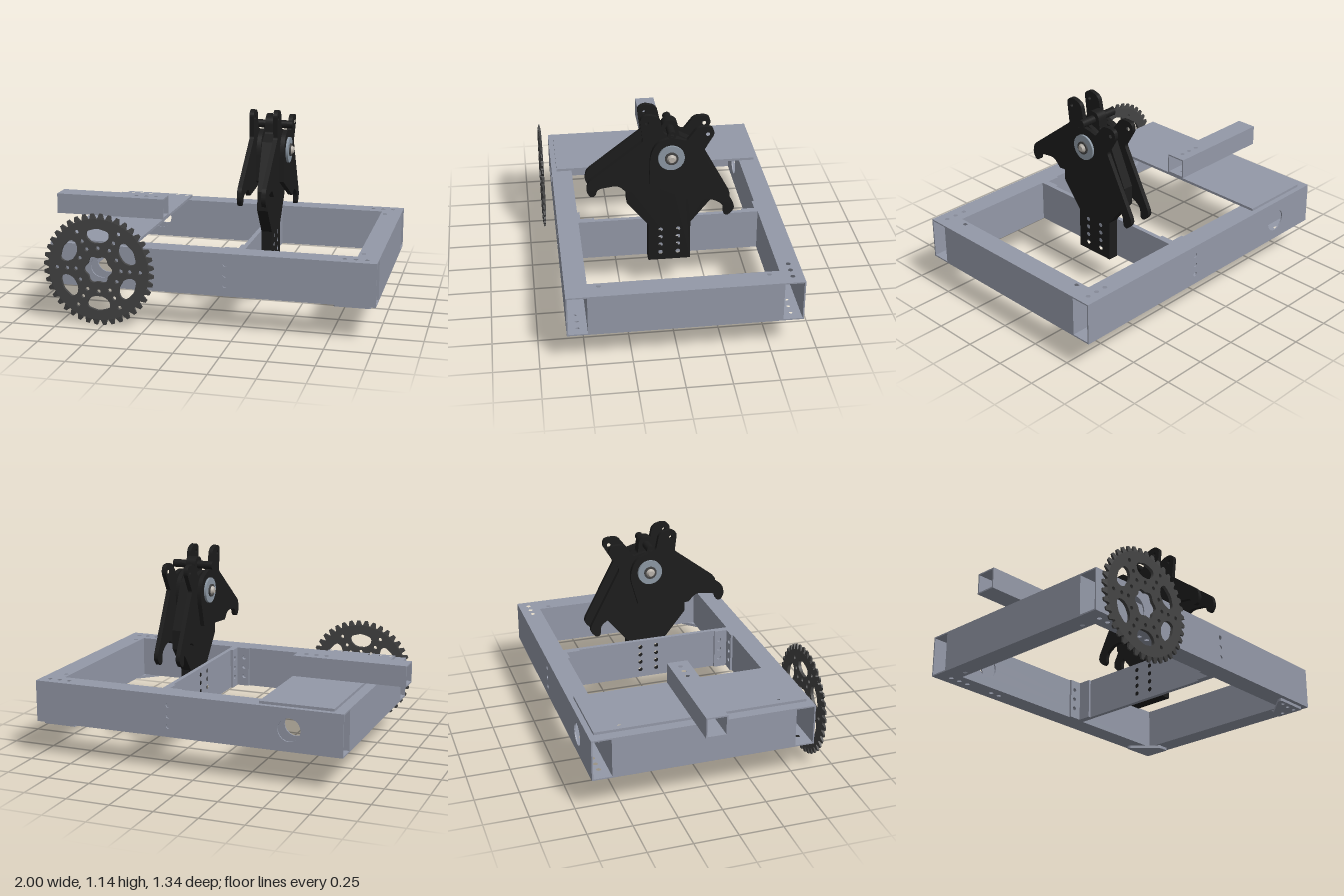
import * as THREE from 'three';

const STEEL = 0x9499a8, BLACK = 0x1c1c1c, DARK = 0x444444, WASHER = 0x8c98a4, BOLT = 0xb8b2aa;
const material = (color) => new THREE.MeshStandardMaterial({ color });
const mats = Object.fromEntries([STEEL, BLACK, DARK, WASHER, BOLT].map((c) => [c, material(c)]));

// Outline whose corners [u, v, radius] may be rounded
function outline(pts, Type = THREE.Shape) {
  const s = new Type();
  pts.forEach(([x, y, r = 0], i) => {
    const p = new THREE.Vector2(x, y);
    const toward = (q) => {
      const d = new THREE.Vector2(q[0] - x, q[1] - y);
      return d.setLength(Math.min(r, d.length() * 0.49)).add(p);
    };
    const a = toward(pts.at(i - 1)), b = toward(pts[(i + 1) % pts.length]);
    if (i) s.lineTo(a.x, a.y); else s.moveTo(a.x, a.y);
    if (r) s.quadraticCurveTo(x, y, b.x, b.y);
  });
  s.closePath();
  return s;
}

const rect = (a, b, c, d) => [[a, c], [b, c], [b, d], [a, d]];
const ring = (n, f) => Array.from({ length: n }, (_, i) => {
  const a = (i / n) * Math.PI * 2, r = f(a);
  return [r * Math.cos(a), r * Math.sin(a)];
});

// Flat sheet: axis is its normal; points are (x,y) for z, (z,y) for x, (x,z) for y
function sheet(name, axis, pts, at, thick, holes = [], color = STEEL) {
  const su = axis === 'x' ? -1 : 1, sv = axis === 'y' ? -1 : 1;
  const shape = outline(pts.map(([u, v, r]) => [u * su, v * sv, r]));
  for (const [u, v, r] of holes) {
    shape.holes.push(new THREE.Path().absarc(u * su, v * sv, r, 0, Math.PI * 2, true));
  }
  const g = new THREE.ExtrudeGeometry(shape, { depth: thick, bevelEnabled: false, curveSegments: 10 });
  if (axis === 'x') g.rotateY(Math.PI / 2);
  if (axis === 'y') g.rotateX(-Math.PI / 2);
  const m = new THREE.Mesh(g, mats[color]);
  m.position[axis] = at;
  m.name = name;
  return m;
}

// Open-ended rectangular tube along x or z
function tube(name, along, [x0, x1], [y0, y1], [z0, z1], flatHoles = [], sideHoles = []) {
  const t = 0.008, g = new THREE.Group();
  g.name = name;
  for (const y of [y0, y1 - t]) g.add(sheet('flange', 'y', rect(x0, x1, z0, z1), y, t, flatHoles));
  const [a, b, axis, c, d] = along === 'x' ? [x0, x1, 'z', z0, z1] : [z0, z1, 'x', x0, x1];
  for (const p of [c, d - t]) g.add(sheet('wall', axis, rect(a, b, y0 + t, y1 - t), p, t, sideHoles));
  return g;
}

function rod(name, r, x0, x1, y, z, color, r2 = r) {
  const m = new THREE.Mesh(new THREE.CylinderGeometry(r2, r, x1 - x0, 32).rotateZ(-Math.PI / 2), mats[color]);
  m.position.set((x0 + x1) / 2, y, z);
  m.name = name;
  return m;
}

function buildFrame() {
  const g = new THREE.Group();
  g.name = 'frame';
  const Y = [0.2, 0.44], small = 0.013;
  const plateX = [-0.73, -0.67, -0.61, -0.43, -0.37];
  const boltY = [0.26, 0.32, 0.38];
  const sideHoles = [[-0.52, 0.32, 0.065], ...boltY.map((y) => [0.18, y, small])];
  const row = (xs, z) => xs.map((x) => [x, z, small]);

  // Side rails
  for (const [name, z0, z1, hz] of [['backRail', -0.67, -0.55, -0.61], ['frontRail', 0.48, 0.6, 0.54]]) {
    g.add(tube(name, 'x', [-0.82, 1], Y, [z0, z1], row([...plateX, 0.82, 0.88, 0.94], hz), sideHoles));
  }
  // End beams
  g.add(tube('rightEndBeam', 'z', [-0.82, -0.7], Y, [-0.55, 0.48], [[-0.73, -0.49, small], [-0.73, 0.42, small]]));
  g.add(tube('leftEndBeam', 'z', [0.88, 1], Y, [-0.55, 0.48], [[0.905, -0.49, small], [0.905, 0.42, small]]));

  // Middle cross plate with corner brackets
  const mid = [];
  for (const z of [-0.08, 0.02]) for (const y of [0.25, 0.3, 0.35, 0.4]) mid.push([z, y, small]);
  g.add(sheet('crossPlate', 'x', rect(-0.55, 0.48, ...Y), 0.24, 0.025, mid));
  for (const [z, s] of [[-0.55, 1], [0.48, -1]]) {
    const b = new THREE.Group();
    b.name = 'cornerBracket';
    b.add(sheet('railLeg', 'z', rect(0.15, 0.24, ...Y), s > 0 ? z : z - 0.013, 0.013, boltY.map((y) => [0.18, y, small])));
    b.add(sheet('plateLeg', 'x', rect(z + 0.013 * s, z + 0.09 * s, ...Y), 0.225, 0.015, boltY.map((y) => [z + 0.06 * s, y, small])));
    g.add(b);
  }
  // Corner gussets underneath
  for (const s of [1, -1]) {
    const f = (x, z) => [x, -0.035 + s * (z + 0.035), 0.01];
    const pts = [f(0.97, 0.575), f(0.97, 0.41), f(0.91, 0.41), f(0.77, 0.55), f(0.77, 0.575)];
    const holes = [[0.82, 0.55], [0.88, 0.54], [0.94, 0.54], [0.94, 0.46]].map(([x, z]) => [...f(x, z).slice(0, 2), 0.012]);
    g.add(sheet('gusset', 'y', pts, 0.183, 0.017, holes));
  }
  // Deck plate and the tube bolted on top of it
  const tubeHoles = row([-0.52, -0.46, -0.4], -0.04);
  g.add(sheet('deckPlate', 'y', rect(-0.76, -0.34, -0.64, 0.57), 0.44, 0.015,
    [...row(plateX, -0.61), ...row(plateX, 0.54), ...row([-0.73], -0.49), ...row([-0.73], 0.42), ...tubeHoles]));
  g.add(tube('deckTube', 'x', [-1, -0.34], [0.455, 0.575], [-0.1, 0.02], tubeHoles));
  return g;
}

function buildSprocket() {
  const g = new THREE.Group();
  g.name = 'sprocket';
  const T = 0.018, root = 0.287, tip = 0.317, N = 40, deg = Math.PI / 180;
  const polar = (r, a, k) => [r * Math.cos(a), r * Math.sin(a), k];
  const body = outline(ring(120, () => root));
  body.holes.push(outline(ring(72, (a) => 0.074 + 0.007 * Math.cos(6 * a)), THREE.Path));
  for (let k = 0; k < 6; k++) {
    const a = k * 60 * deg, b = a + 30 * deg;
    // Window between two spokes
    const w = [[0.153, -11], [0.19, -20], [0.226, -17], [0.236, 0], [0.226, 17], [0.19, 20], [0.153, 11]];
    body.holes.push(outline(w.map(([r, d]) => polar(r, b + d * deg, 0.02)), THREE.Path));
    // Bolt holes
    for (const [r, q] of [[0.13, a], [0.18, a], [0.24, a], [0.122, b]]) {
      body.holes.push(new THREE.Path().absarc(...polar(r, q).slice(0, 2), 0.012, 0, Math.PI * 2, true));
    }
  }
  const opts = { depth: T, bevelEnabled: false, curveSegments: 6 };
  const disc = new THREE.Mesh(new THREE.ExtrudeGeometry(body, opts), mats[DARK]);
  disc.name = 'sprocketDisc';

  // Toothed rim, thinned towards the tips
  const pts = [];
  for (let i = 0; i < N; i++) {
    for (const [f, r] of [[0, root], [0.2, root], [0.42, tip], [0.78, tip]]) pts.push(polar(r, ((i + f) / N) * Math.PI * 2));
  }
  const rim = outline(pts);
  rim.holes.push(outline(ring(120, () => root - 0.003), THREE.Path));
  const rg = new THREE.ExtrudeGeometry(rim, opts), p = rg.attributes.position;
  for (let i = 0; i < p.count; i++) {
    if (Math.hypot(p.getX(i), p.getY(i)) > 0.3) p.setZ(i, T / 2 + (p.getZ(i) - T / 2) * 0.45);
  }
  rg.computeVertexNormals();
  const teeth = new THREE.Mesh(rg, mats[DARK]);
  teeth.name = 'sprocketTeeth';
  g.add(disc, teeth);
  g.position.set(-0.52, 0.317, 0.648);
  return g;
}

function buildClaw() {
  const g = new THREE.Group();
  g.name = 'clawMechanism';
  const Z = -0.03, Y = 0.9;
  // Centre mount, symmetric about the pivot
  const half = [[0.12, 0.2], [0.12, 0.44], [0.24, 0.59], [0.24, 0.7], [0.12, 0.96], [0.05, 1.0, 0.01], [0.045, 1.07, 0.03], [0.02, 1.092, 0.015]];
  const mount = [...half.map(([z, y, r]) => [Z + z, y, r]), ...half.map(([z, y, r]) => [Z - z, y, r]).reverse()];
  const bolts = [];
  for (const z of [-0.08, 0.02]) for (const y of [0.25, 0.3, 0.35, 0.4]) bolts.push([z, y, 0.013]);
  g.add(sheet('centreMount', 'x', mount, 0.27, 0.06, bolts, BLACK));

  // Hooked jaws, one reaching forwards and one backwards on each side
  const frontJaw = [[0.01, 1.03, 0.02], [0.03, 1.13, 0.03], [0.1, 1.15, 0.03], [0.138, 1.125, 0.02], [0.122, 0.99, 0.01],
    [0.425, 0.755, 0.02], [0.437, 0.7, 0.02], [0.415, 0.66, 0.015], [0.387, 0.665, 0.015], [0.375, 0.71, 0.03],
    [0.26, 0.725, 0.03], [0.21, 0.675], [-0.1, 0.7], [-0.15, 0.88, 0.05], [-0.12, 0.98, 0.05], [-0.04, 1.015, 0.03]];
  const backJaw = [[-0.115, 0.995, 0.01], [-0.175, 1.075, 0.03], [-0.255, 1.072, 0.03], [-0.268, 1.03, 0.02], [-0.203, 0.92, 0.01],
    [-0.385, 0.575, 0.02], [-0.385, 0.545, 0.02], [-0.35, 0.508, 0.015], [-0.325, 0.52, 0.015], [-0.325, 0.58, 0.04],
    [-0.27, 0.615, 0.02], [-0.22, 0.625, 0.02], [-0.18, 0.6], [0.09, 0.735], [0.085, 0.92, 0.05], [0.05, 0.99, 0.05],
    [-0.01, 1.015, 0.04], [-0.07, 1.01, 0.02]];
  for (const x of [0.205, 0.34]) g.add(sheet('frontJaw', 'x', frontJaw, x, 0.025, [[0.1, 1.1, 0.011]], BLACK));
  for (const x of [0.235, 0.37]) g.add(sheet('backJaw', 'x', backJaw, x, 0.025, [[-0.23, 1.03, 0.011]], BLACK));

  // Hollow stop pin
  g.add(sheet('stopPin', 'x', ring(28, () => 0.023).map(([z, y]) => [z + Z, y + 1.046]), 0.178, 0.244, [[Z, 1.046, 0.01]], BLACK));
  // Pivot axle with a washer, collar and bolt head on each side
  g.add(rod('pivotAxle', 0.035, 0.19, 0.41, Y, Z, BLACK));
  g.add(rod('leftWasher', 0.073, 0.395, 0.408, Y, Z, WASHER), rod('rightWasher', 0.073, 0.192, 0.205, Y, Z, WASHER));
  g.add(rod('leftCollar', 0.037, 0.408, 0.416, Y, Z, DARK), rod('rightCollar', 0.037, 0.184, 0.192, Y, Z, DARK));
  g.add(rod('leftBoltHead', 0.026, 0.416, 0.43, Y, Z, BOLT, 0.016), rod('rightBoltHead', 0.016, 0.17, 0.184, Y, Z, BOLT, 0.026));
  return g;
}

export function createModel() {
  const model = new THREE.Group();
  model.name = 'robotChassis';
  model.add(buildFrame(), buildSprocket(), buildClaw());
  return model;
}
